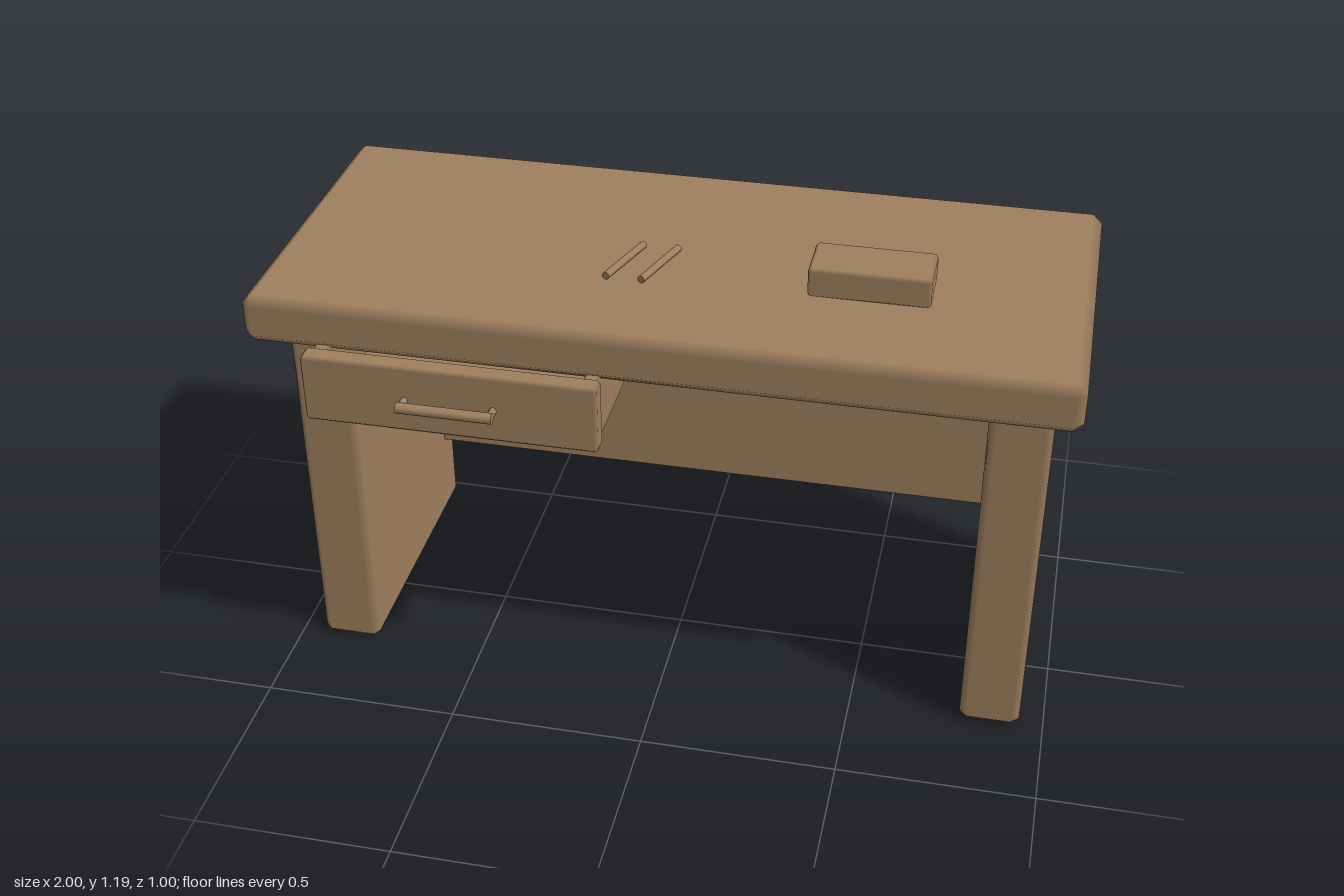
import * as THREE from 'three';

// Box with 45 degree chamfers; normals stay on the face axes so the bevels shade softly.
function chamferBox(w, h, d, r) {
  const half = [w / 2, h / 2, d / 2];
  const position = [], normal = [], index = [];
  const signs = [-1, 1];
  const id = (axis, s) => axis * 8 + (s[0] > 0 ? 1 : 0) + (s[1] > 0 ? 2 : 0) + (s[2] > 0 ? 4 : 0);
  const at = (i) => new THREE.Vector3().fromArray(position, i * 3);
  const tri = (a, b, c) => {
    const A = at(a), B = at(b), C = at(c);
    const n = B.clone().sub(A).cross(C.clone().sub(A));
    if (n.dot(A.add(B).add(C)) > 0) index.push(a, b, c);
    else index.push(a, c, b);
  };
  const quad = (a, b, c, e) => { tri(a, b, c); tri(a, c, e); };
  for (let axis = 0; axis < 3; axis++)
    for (const z of signs) for (const y of signs) for (const x of signs) {
      const s = [x, y, z];
      for (let k = 0; k < 3; k++) {
        position.push(s[k] * (half[k] - (k === axis ? 0 : r)));
        normal.push(k === axis ? s[k] : 0);
      }
    }
  for (let a = 0; a < 3; a++) {
    const b = (a + 1) % 3, c = (a + 2) % 3;
    const key = (va, vb, vc) => { const s = []; s[a] = va; s[b] = vb; s[c] = vc; return s; };
    for (const p of signs) {
      // Flat face on axis a
      quad(id(a, key(p, -1, -1)), id(a, key(p, 1, -1)), id(a, key(p, 1, 1)), id(a, key(p, -1, 1)));
      // Bevel strips between faces a and b
      for (const q of signs) {
        const s0 = key(p, q, -1), s1 = key(p, q, 1);
        quad(id(a, s0), id(a, s1), id(b, s1), id(b, s0));
      }
    }
  }
  // Corner triangles
  for (const x of signs) for (const y of signs) for (const z of signs) {
    const s = [x, y, z];
    tri(id(0, s), id(1, s), id(2, s));
  }
  const g = new THREE.BufferGeometry();
  g.setAttribute('position', new THREE.Float32BufferAttribute(position, 3));
  g.setAttribute('normal', new THREE.Float32BufferAttribute(normal, 3));
  g.setIndex(index);
  return g;
}

export function createModel() {
  const desk = new THREE.Group();
  desk.name = 'desk';
  const wood = new THREE.MeshStandardMaterial({ color: 0xa08060 });
  wood.name = 'brown wood';

  // Box given by its limits on each axis
  function block(name, [x0, x1], [y0, y1], [z0, z1], bevel, parent = desk) {
    const mesh = new THREE.Mesh(chamferBox(x1 - x0, y1 - y0, z1 - z0, bevel), wood);
    mesh.position.set((x0 + x1) / 2, (y0 + y1) / 2, (z0 + z1) / 2);
    mesh.name = name;
    parent.add(mesh);
    return mesh;
  }

  // Rod between two points
  function rod(name, from, to, radius, sides, parent = desk) {
    const a = new THREE.Vector3(...from), b = new THREE.Vector3(...to);
    const dir = b.clone().sub(a);
    const mesh = new THREE.Mesh(new THREE.CylinderGeometry(radius, radius, dir.length(), sides), wood);
    mesh.position.copy(a).add(b).multiplyScalar(0.5);
    mesh.quaternion.setFromUnitVectors(new THREE.Vector3(0, 1, 0), dir.normalize());
    mesh.name = name;
    parent.add(mesh);
  }

  // Top, side panels and back panel
  block('desktop', [-1, 1], [0.987, 1.113], [-0.5, 0.375], 0.024);
  block('leftLeg', [0.785, 0.938], [0, 1.0], [-0.475, 0.255], 0.02);
  block('rightLeg', [-0.938, -0.785], [0, 1.0], [-0.475, 0.255], 0.02);
  block('backPanel', [-0.8, 0.8], [0.232, 1.0], [-0.468, -0.388], 0.004);

  // Partly opened drawer
  const drawer = new THREE.Group();
  drawer.name = 'drawer';
  desk.add(drawer);
  block('drawerFront', [-0.828, -0.105], [0.838, 1.016], [0.398, 0.45], 0.008, drawer);
  block('drawerBottom', [-0.815, -0.118], [0.834, 0.85], [-0.25, 0.405], 0.002, drawer);
  block('drawerRightSide', [-0.815, -0.783], [0.848, 1.003], [-0.25, 0.4], 0.002, drawer);
  block('drawerLeftSide', [-0.15, -0.118], [0.848, 1.003], [-0.25, 0.4], 0.002, drawer);
  block('drawerBack', [-0.79, -0.14], [0.848, 1.003], [-0.25, -0.22], 0.002, drawer);

  // Drawer handle
  rod('handleBar', [-0.582, 0.927, 0.484], [-0.348, 0.927, 0.484], 0.014, 10, drawer);
  for (const x of [-0.574, -0.356])
    rod('handlePost', [x, 0.927, 0.448], [x, 0.927, 0.484], 0.009, 10, drawer);

  // Two pens and a small box on the desktop
  for (const dx of [0, 0.088])
    rod('pen', [-0.164 + dx, 1.122, 0.106], [-0.109 + dx, 1.122, -0.066], 0.01, 8);
  block('smallBox', [0.325, 0.62], [1.112, 1.189], [-0.052, 0.092], 0.008);

  return desk;
}
